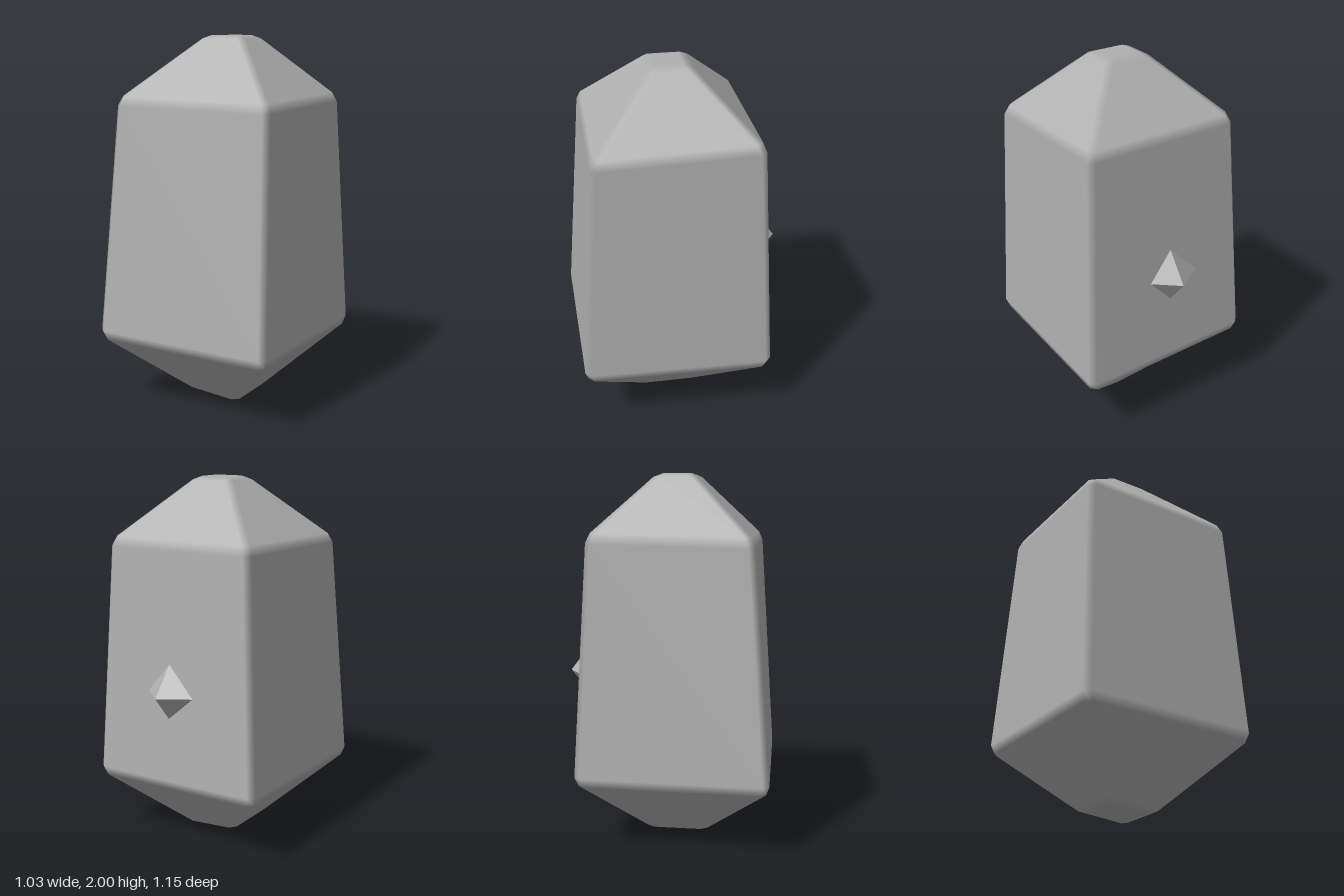
import * as THREE from 'three';

const INSET = 0.032; // bevel width on every edge of the body

// Collects convex polygons with given normals, wound to face outward
class Surface {
  constructor() { this.pos = []; this.nor = []; }
  add(points, normals) {
    const flat = new THREE.Vector3().crossVectors(
      points[1].clone().sub(points[0]), points[2].clone().sub(points[0])).normalize();
    const flip = normals && flat.dot(normals.reduce((s, n) => s.add(n), new THREE.Vector3())) < 0;
    for (let i = 1; i < points.length - 1; i++) {
      for (const k of flip ? [0, i + 1, i] : [0, i, i + 1]) {
        this.pos.push(...points[k].toArray());
        this.nor.push(...(normals ? normals[k] : flat).toArray());
      }
    }
  }
  mesh(name, material) {
    const g = new THREE.BufferGeometry();
    g.setAttribute('position', new THREE.Float32BufferAttribute(this.pos, 3));
    g.setAttribute('normal', new THREE.Float32BufferAttribute(this.nor, 3));
    const m = new THREE.Mesh(g, material);
    m.name = name;
    return m;
  }
}

const v = (p) => new THREE.Vector3(...p);

export function createModel() {
  const stone = new THREE.MeshStandardMaterial({ color: 0xb0b0b0 });
  stone.name = 'stone grey';
  const group = new THREE.Group();
  group.name = 'stoneBlock';

  // Four rings from bottom to top: back left-x, back right-x, front right-x, front left-x
  const corners = [
    [-0.15, 0.03, -0.09], [0.13, 0, -0.09], [0.13, 0, 0.21], [-0.15, 0.03, 0.21],
    [-0.51, 0.39, -0.45], [0.515, 0.36, -0.46], [0.495, 0.37, 0.57], [-0.52, 0.385, 0.58],
    [-0.43, 1.68, -0.385], [0.455, 1.67, -0.39], [0.465, 1.65, 0.485], [-0.445, 1.665, 0.48],
    [-0.1, 2, -0.06], [0.125, 2, -0.06], [0.125, 2, 0.14], [-0.1, 2, 0.14],
  ].map(v);

  // Faces as corner loops: two caps and three bands of four
  const loops = [[0, 1, 2, 3], [15, 14, 13, 12]];
  for (let r = 0; r < 3; r++) {
    for (let i = 0; i < 4; i++) {
      const j = (i + 1) % 4, b = r * 4;
      loops.push([b + i, b + 4 + i, b + 4 + j, b + j]);
    }
  }
  const backLoop = loops[6];

  // Inset every face to leave room for the bevels
  const faces = loops.map((loop) => {
    const p = loop.map((k) => corners[k]);
    const normal = new THREE.Vector3().crossVectors(
      p[2].clone().sub(p[0]), p[3].clone().sub(p[1])).normalize();
    const inset = new Map();
    loop.forEach((k, i) => {
      const a = p[(i + 1) % 4].clone().sub(p[i]).normalize();
      const b = p[(i + 3) % 4].clone().sub(p[i]).normalize();
      inset.set(k, p[i].clone().addScaledVector(a, INSET).addScaledVector(b, INSET));
    });
    const centre = p.reduce((s, q) => s.add(q), new THREE.Vector3()).multiplyScalar(0.25);
    if (normal.dot(centre.sub(new THREE.Vector3(0, 1, 0))) < 0) normal.negate();
    return { loop, normal, inset };
  });

  // Body: flat faces, smooth bevel strips and corner caps
  const body = new Surface();
  for (const f of faces) {
    if (f.loop !== backLoop) {
      body.add(f.loop.map((k) => f.inset.get(k)), f.loop.map(() => f.normal));
    }
  }
  faces.forEach((a, i) => faces.slice(i + 1).forEach((b) => {
    const s = a.loop.filter((k) => b.loop.includes(k));
    if (s.length !== 2) return;
    body.add([a.inset.get(s[0]), a.inset.get(s[1]), b.inset.get(s[1]), b.inset.get(s[0])],
      [a.normal, a.normal, b.normal, b.normal]);
  }));
  corners.forEach((c, k) => {
    const around = faces.filter((f) => f.loop.includes(k));
    const axis = around.reduce((s, f) => s.add(f.normal), new THREE.Vector3()).normalize();
    const u = around[0].inset.get(k).clone().sub(c).projectOnPlane(axis).normalize();
    const w = new THREE.Vector3().crossVectors(axis, u);
    const angle = (f) => {
      const d = f.inset.get(k).clone().sub(c);
      return Math.atan2(d.dot(w), d.dot(u));
    };
    around.sort((f, g) => angle(f) - angle(g));
    body.add(around.map((f) => f.inset.get(k)), around.map((f) => f.normal));
  });

  // Back face swells towards the diamond at the foot of the spike
  const diamond = [[-0.15, 0.9, -0.465], [0.01, 1.06, -0.45], [0.14, 0.9, -0.46], [0.01, 0.765, -0.46]].map(v);
  const back = faces[6];
  const rim = backLoop.map((k) => back.inset.get(k));
  for (let i = 0; i < 4; i++) {
    const j = (i + 1) % 4;
    body.add([rim[i], rim[j], diamond[i]], Array(3).fill(back.normal));
    body.add([rim[j], diamond[j], diamond[i]], Array(3).fill(back.normal));
  }
  group.add(body.mesh('body', stone));

  // Four-sided spike
  const spike = new Surface();
  const tip = v([0.01, 0.9, -0.57]);
  for (let i = 0; i < 4; i++) spike.add([diamond[i], diamond[(i + 1) % 4], tip]);
  group.add(spike.mesh('backSpike', stone));
  return group;
}
